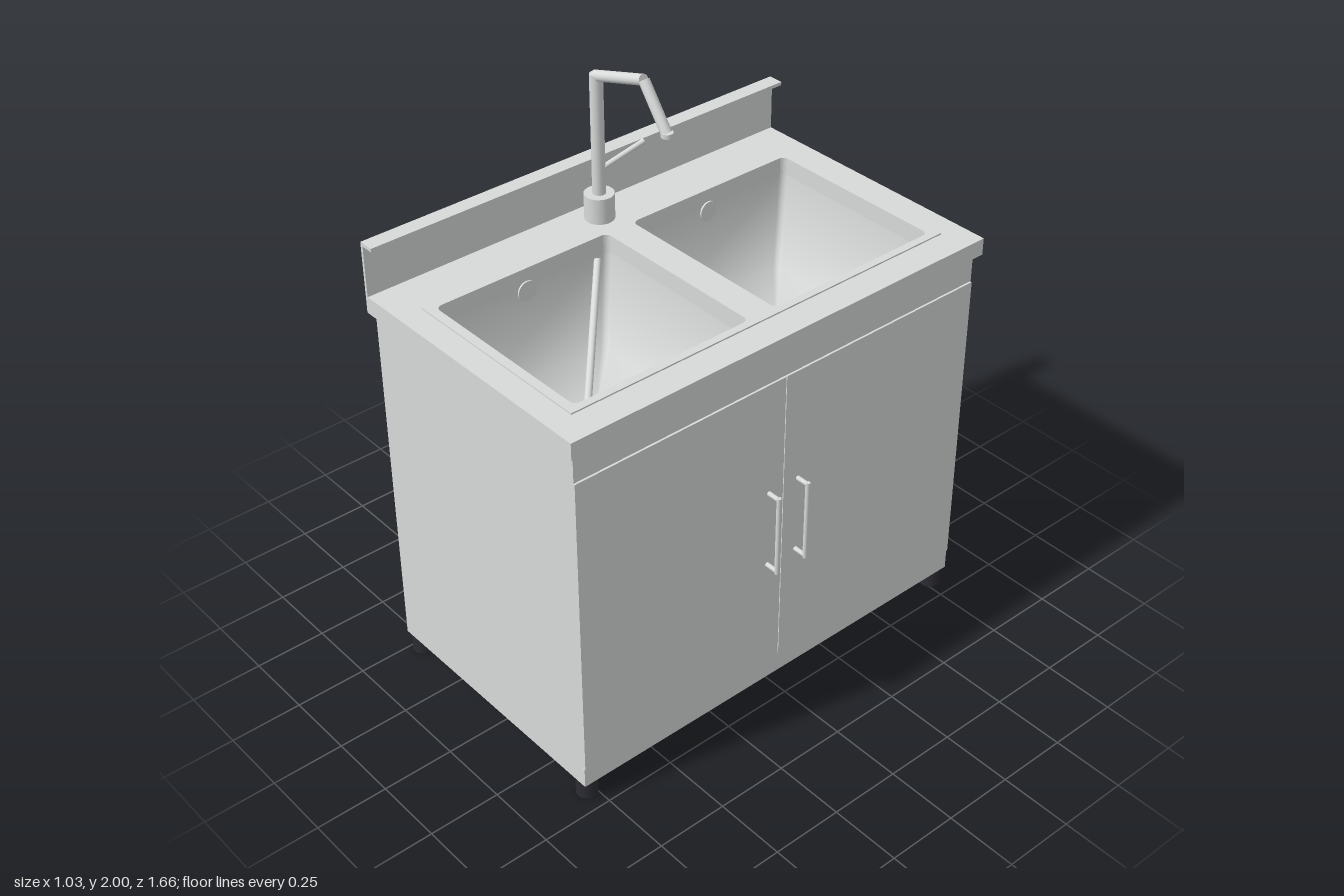
import * as THREE from 'three';

const mat = (name, color) => {
  const m = new THREE.MeshStandardMaterial({ color });
  m.name = name;
  return m;
};

export function createModel() {
  const model = new THREE.Group();
  model.name = 'doubleSinkCabinet';
  const steel = mat('steel', 0xd8dad9);
  steel.side = THREE.DoubleSide;
  const black = mat('blackRubber', 0x2c2c34);
  const blue = mat('spongeBlue', 0x4087dc);

  const add = (name, geo, material) => {
    const mesh = new THREE.Mesh(geo, material);
    mesh.name = name;
    model.add(mesh);
    return mesh;
  };
  // Box from its minimum and maximum limits
  const box = (name, x0, x1, y0, y1, z0, z1, material = steel) =>
    add(name, new THREE.BoxGeometry(x1 - x0, y1 - y0, z1 - z0), material)
      .position.set((x0 + x1) / 2, (y0 + y1) / 2, (z0 + z1) / 2);
  // Round bar between two points
  const rod = (name, a, b, r, material = steel, sides = 20) => {
    const p = new THREE.Vector3(...a), q = new THREE.Vector3(...b);
    const d = q.clone().sub(p);
    const mesh = add(name, new THREE.CylinderGeometry(r, r, d.length(), sides), material);
    mesh.position.copy(p).add(q).multiplyScalar(0.5);
    mesh.quaternion.setFromUnitVectors(new THREE.Vector3(0, 1, 0), d.normalize());
  };
  // Rounded rectangle outline, counter-clockwise
  const outline = (x0, x1, y0, y1, r) => {
    const pts = [];
    [[x1 - r, y1 - r], [x0 + r, y1 - r], [x0 + r, y0 + r], [x1 - r, y0 + r]].forEach(([cx, cy], k) => {
      for (let i = 0; i <= 6; i++) {
        const a = (k + i / 6) * Math.PI / 2;
        pts.push(new THREE.Vector2(cx + r * Math.cos(a), cy + r * Math.sin(a)));
      }
    });
    return pts;
  };
  // Horizontal plate pierced by the two basin openings
  const BX0 = -0.32, BX1 = 0.345, BZ0 = 0.053, BZ1 = 0.713, R = 0.022;
  const plate = (name, x0, x1, w, y0, y1) => {
    const shape = new THREE.Shape([[x0, -w], [x1, -w], [x1, w], [x0, w]].map(p => new THREE.Vector2(...p)));
    shape.holes.push(new THREE.Path(outline(BX0, BX1, BZ0, BZ1, R).reverse()));
    shape.holes.push(new THREE.Path(outline(BX0, BX1, -BZ1, -BZ0, R).reverse()));
    const geo = new THREE.ExtrudeGeometry(shape, { depth: y1 - y0, bevelEnabled: false });
    add(name, geo.rotateX(-Math.PI / 2).translate(0, y0, 0), steel);
  };

  // Countertop, sink rim and backsplash
  plate('countertop', -0.517, 0.477, 0.83, 1.35, 1.41);
  plate('sinkRim', -0.35, 0.372, 0.745, 1.41, 1.415);
  box('backsplash', -0.518, -0.508, 1.35, 1.6, -0.83, 0.83);
  box('backsplashLip', -0.508, -0.463, 1.588, 1.6, -0.83, 0.83);

  // Cabinet shell of thin sheet
  for (const s of [-1, 1]) {
    const zs = [s * 0.803, s * 0.81].sort((a, b) => a - b);
    box('sidePanel', -0.503, 0.446, 0.066, 1.35, ...zs);
  }
  box('backPanel', -0.503, -0.496, 0.066, 1.35, -0.803, 0.803);
  box('upperFascia', 0.446, 0.456, 1.25, 1.35, -0.81, 0.81);
  box('plinth', 0.446, 0.457, 0.066, 0.14, -0.81, 0.81);
  box('cabinetFloor', -0.496, 0.446, 0.26, 0.27, -0.803, 0.803);

  // Doors and bar handles
  for (const s of [-1, 1]) {
    const zs = [s * 0.0015, s * 0.81].sort((a, b) => a - b);
    box('door', 0.446, 0.461, 0.143, 1.248, ...zs);
    const z = s * 0.061;
    rod('handleBar', [0.507, 0.547, z], [0.507, 0.845, z], 0.008);
    for (const y of [0.555, 0.838]) rod('handlePost', [0.46, y, z], [0.507, y, z], 0.008);
  }

  // Feet with corner posts
  for (const x of [-0.465, 0.42]) for (const z of [-0.775, 0.775]) {
    const sx = Math.sign(x), sz = Math.sign(z);
    rod('foot', [x, 0, z], [x, 0.066, z], 0.036, black, 16);
    const xs = [x + sx * 0.025, x - sx * 0.04].sort((a, b) => a - b);
    const zs = [z + sz * 0.028, z - sz * 0.035].sort((a, b) => a - b);
    box('cornerPost', ...xs, 0.066, 0.26, ...zs);
  }

  // Tapered basins with softly shaded walls and floor
  const bottom = 1.0;
  const basin = (z0, z1) => {
    const rings = [[0, 1.352], [0.026, bottom]].map(([inset, y]) =>
      outline(BX0 + inset / 2, BX1 - inset / 2, z0 + inset, z1 - inset, R)
        .map(p => [p.x, y, p.y]));
    const n = rings[0].length, centre = 2 * n, idx = [];
    for (let i = 0; i < n; i++) {
      const b = (i + 1) % n;
      idx.push(i, i + n, b, b, i + n, b + n, centre, b + n, i + n);
    }
    const pos = [...rings.flat(2), (BX0 + BX1) / 2, bottom, (z0 + z1) / 2];
    const geo = new THREE.BufferGeometry();
    geo.setAttribute('position', new THREE.Float32BufferAttribute(pos, 3));
    geo.setIndex(idx);
    geo.computeVertexNormals();
    add('basin', geo, steel);
  };
  basin(BZ0, BZ1);
  basin(-BZ1, -BZ0);

  // Drains, overflows, stoppers and sponges
  for (const s of [-1, 1]) {
    rod('drain', [0.01, bottom, s * 0.383], [0.01, bottom + 0.006, s * 0.383], 0.042, black, 24);
    rod('overflowCover', [-0.322, 1.335, s * 0.375], [-0.314, 1.335, s * 0.375], 0.035, steel, 24);
    const z = s > 0 ? 0.53 : -0.27;
    rod('stopper', [0.145, bottom, z], [0.145, bottom + 0.03, z], 0.042, black, 24);
  }
  rod('stopperRod', [-0.31, 1.34, 0.1], [0.145, bottom + 0.03, 0.53], 0.012);
  rod('stopperPin', [0.145, bottom + 0.03, -0.268], [0.145, bottom + 0.036, -0.268], 0.012, steel, 3);
  box('blueSponge', 0.096, 0.195, bottom, bottom + 0.04, 0.246, 0.415, blue);
  box('steelSponge', 0.096, 0.195, bottom, bottom + 0.04, -0.552, -0.388);

  // Faucet
  rod('faucetBase', [-0.42, 1.41, 0], [-0.42, 1.5, 0], 0.05, steel, 28);
  rod('faucetPost', [-0.42, 1.5, 0], [-0.42, 1.918, 0], 0.022);
  rod('faucetArm', [-0.425, 1.91, 0], [-0.192, 1.983, 0], 0.018);
  rod('faucetSpout', [-0.19, 1.983, 0], [-0.088, 1.846, 0], 0.018);
  rod('spoutTip', [-0.085, 1.835, 0], [-0.085, 1.85, 0], 0.02);
  rod('faucetLever', [-0.415, 1.585, 0], [-0.371, 1.654, -0.148], 0.009);

  // Small pipe collar edge on the back panel
  const collar = add('pipeCollar', new THREE.TorusGeometry(0.03, 0.002, 6, 14, Math.PI * 0.8), black);
  collar.rotation.set(0, Math.PI / 2, -Math.PI * 0.4, 'YXZ');
  collar.position.set(-0.503, 0.64, 0);

  return model;
}
